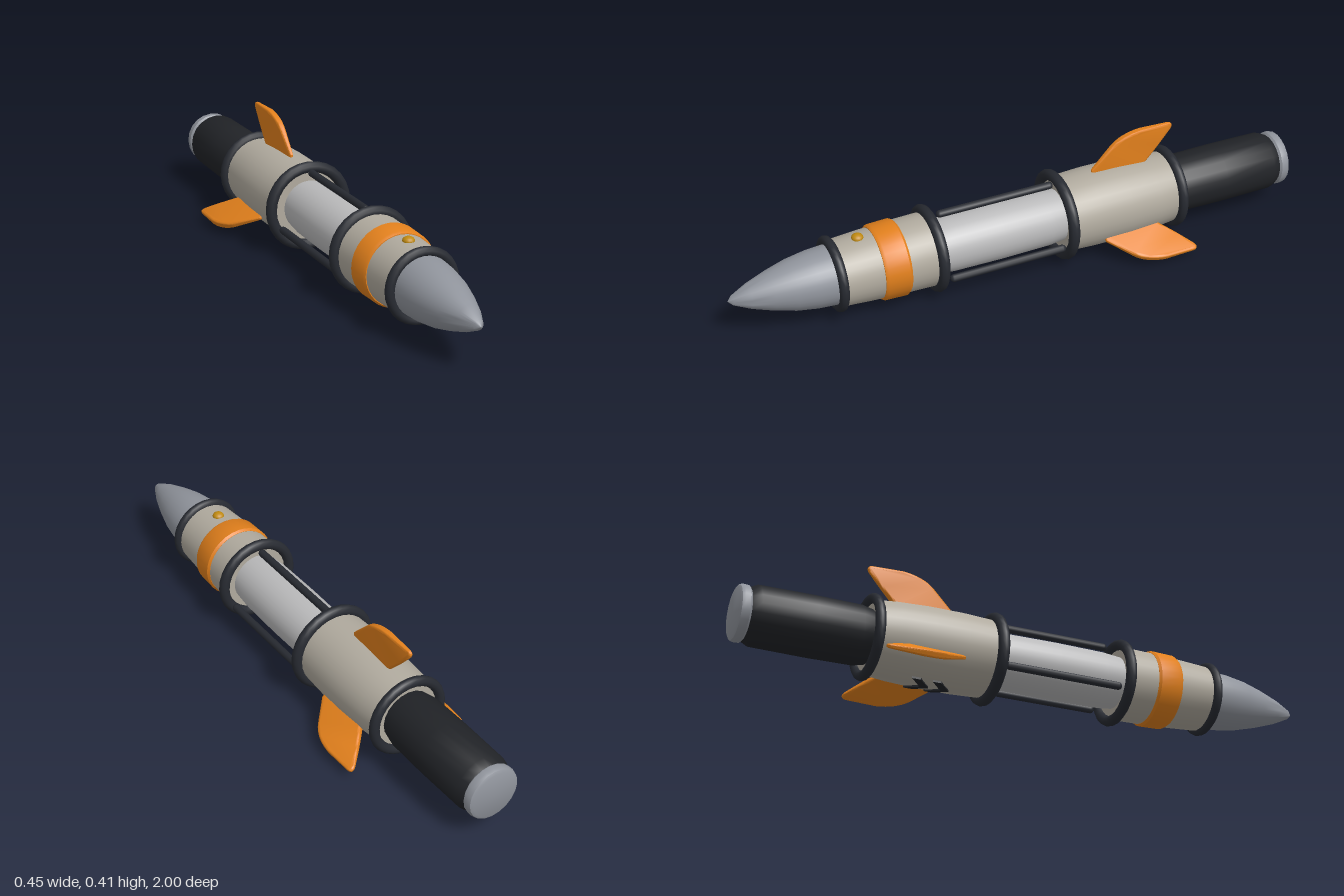
import * as THREE from 'three';
import { toCreasedNormals } from 'three/addons/utils/BufferGeometryUtils.js';

const AXIS_Y = 0.157;
const mat = (color) => new THREE.MeshStandardMaterial({ color });
const MATS = {
  dark: mat(0x272a31), black: mat(0x212327), shell: mat(0xb0aa9e), orange: mat(0xe2801c),
  steel: mat(0x90949c), core: mat(0xb9b9ba), gold: mat(0xc08a10),
};

export function createModel() {
  const model = new THREE.Group();
  model.name = 'rocket';
  model.position.y = AXIS_Y;
  const root = new THREE.Group();
  root.add(model);

  const add = (name, geo, material, parent = model) => {
    const mesh = new THREE.Mesh(geo, material);
    mesh.name = name;
    parent.add(mesh);
    return mesh;
  };

  // Turned part: profile of [radius, z], listed from back to front
  const turned = (name, profile, material, sides = 32) => {
    const geo = new THREE.LatheGeometry(profile.map(([r, z]) => new THREE.Vector2(r, z)), sides);
    geo.rotateX(Math.PI / 2);
    return add(name, toCreasedNormals(geo, 0.6), material);
  };

  turned('noseCone', [
    [0, 0.64], [0.1, 0.64], [0.1, 0.66], [0.096, 0.72], [0.085, 0.79],
    [0.066, 0.86], [0.042, 0.93], [0.016, 0.985], [0, 1],
  ], MATS.steel);
  turned('frontBody', [
    [0, 0.315], [0.124, 0.315], [0.122, 0.42], [0.117, 0.54], [0.11, 0.65], [0, 0.65],
  ], MATS.shell);
  turned('colourBand', [
    [0.115, 0.422], [0.123, 0.422], [0.129, 0.43], [0.127, 0.502], [0.121, 0.512], [0.112, 0.512],
  ], MATS.orange);
  turned('innerCore', [
    [0, -0.15], [0.088, -0.15], [0.094, -0.09], [0.096, 0.08], [0.094, 0.25], [0.088, 0.315], [0, 0.315],
  ], MATS.core);
  turned('rearBody', [
    [0, -0.56], [0.121, -0.56], [0.129, -0.48], [0.134, -0.37], [0.134, -0.26], [0.129, -0.145], [0, -0.145],
  ], MATS.shell);
  turned('exhaustTube', [
    [0, -0.965], [0.084, -0.965], [0.099, -0.935], [0.101, -0.75], [0.099, -0.6], [0.09, -0.56], [0, -0.56],
  ], MATS.black, 20);
  turned('tailCap', [
    [0, -1], [0.08, -1], [0.089, -0.995], [0.093, -0.985], [0.092, -0.968], [0.084, -0.96], [0, -0.96],
  ], MATS.steel, 20);

  // Clamping rings: z, outer radius, tube radius
  [[0.65, 0.127, 0.016], [0.315, 0.148, 0.018], [-0.145, 0.156, 0.019], [-0.56, 0.143, 0.017]]
    .forEach(([z, outer, tube], i) => {
      const ring = add(`ring${i + 1}`, new THREE.TorusGeometry(outer - tube, tube, 10, 28), MATS.dark);
      ring.position.z = z;
    });

  // Button on top of the front body
  const button = add('button', new THREE.SphereGeometry(0.02, 16, 10), MATS.gold);
  button.position.set(0, 0.115, 0.56);
  button.scale.y = 0.7;

  // Fin outline in (distance backward, radius), thickened in the middle
  const finShape = new THREE.Shape();
  finShape.moveTo(0.275, 0.115);
  finShape.lineTo(0.455, 0.115);
  finShape.quadraticCurveTo(0.505, 0.165, 0.56, 0.232);
  finShape.quadraticCurveTo(0.572, 0.25, 0.55, 0.25);
  finShape.lineTo(0.45, 0.252);
  finShape.quadraticCurveTo(0.38, 0.246, 0.345, 0.212);
  finShape.lineTo(0.275, 0.14);
  const finGeo = new THREE.ExtrudeGeometry(finShape, {
    depth: 0.01, bevelEnabled: true, bevelThickness: 0.007, bevelSize: 0.009,
    bevelOffset: -0.005, bevelSegments: 3, curveSegments: 8,
  });
  finGeo.translate(0, 0, -0.005);
  const fp = finGeo.attributes.position;
  for (let i = 0; i < fp.count; i++) {
    const t = (fp.getX(i) - 0.42) / 0.16;
    fp.setZ(i, fp.getZ(i) * (1 - 0.55 * t * t));
  }
  finGeo.rotateY(Math.PI / 2);
  const fin = toCreasedNormals(finGeo, 0.7);

  // Strut between the two middle rings
  const strut = new THREE.CapsuleGeometry(0.013, 0.39, 6, 10);
  strut.rotateX(Math.PI / 2);
  strut.translate(0, 0.124, 0.08);

  // Three fins and three struts around the axis
  for (let i = 0; i < 3; i++) {
    const arm = new THREE.Group();
    arm.name = `finAndStrut${i + 1}`;
    arm.rotation.z = (i * Math.PI * 2) / 3;
    add('fin', fin, MATS.orange, arm);
    add('strut', strut, MATS.dark, arm);
    model.add(arm);
  }

  // Two chevrons wrapped onto the underside of the rear body
  [-0.28, -0.35].forEach((tip, i) => {
    const s = new THREE.Shape([
      [0, 0], [-0.04, -0.04], [-0.04, -0.07], [0, -0.03], [0.04, -0.07], [0.04, -0.04],
    ].map(([x, z]) => new THREE.Vector2(x, z + tip)));
    const geo = new THREE.ExtrudeGeometry(s, { depth: 0.007, bevelEnabled: false });
    geo.rotateX(Math.PI / 2);
    const p = geo.attributes.position;
    for (let k = 0; k < p.count; k++) p.setY(k, p.getY(k) - Math.sqrt(0.133 ** 2 - p.getX(k) ** 2));
    geo.computeVertexNormals();
    add(`chevron${i + 1}`, geo, MATS.black);
  });

  return root;
}
